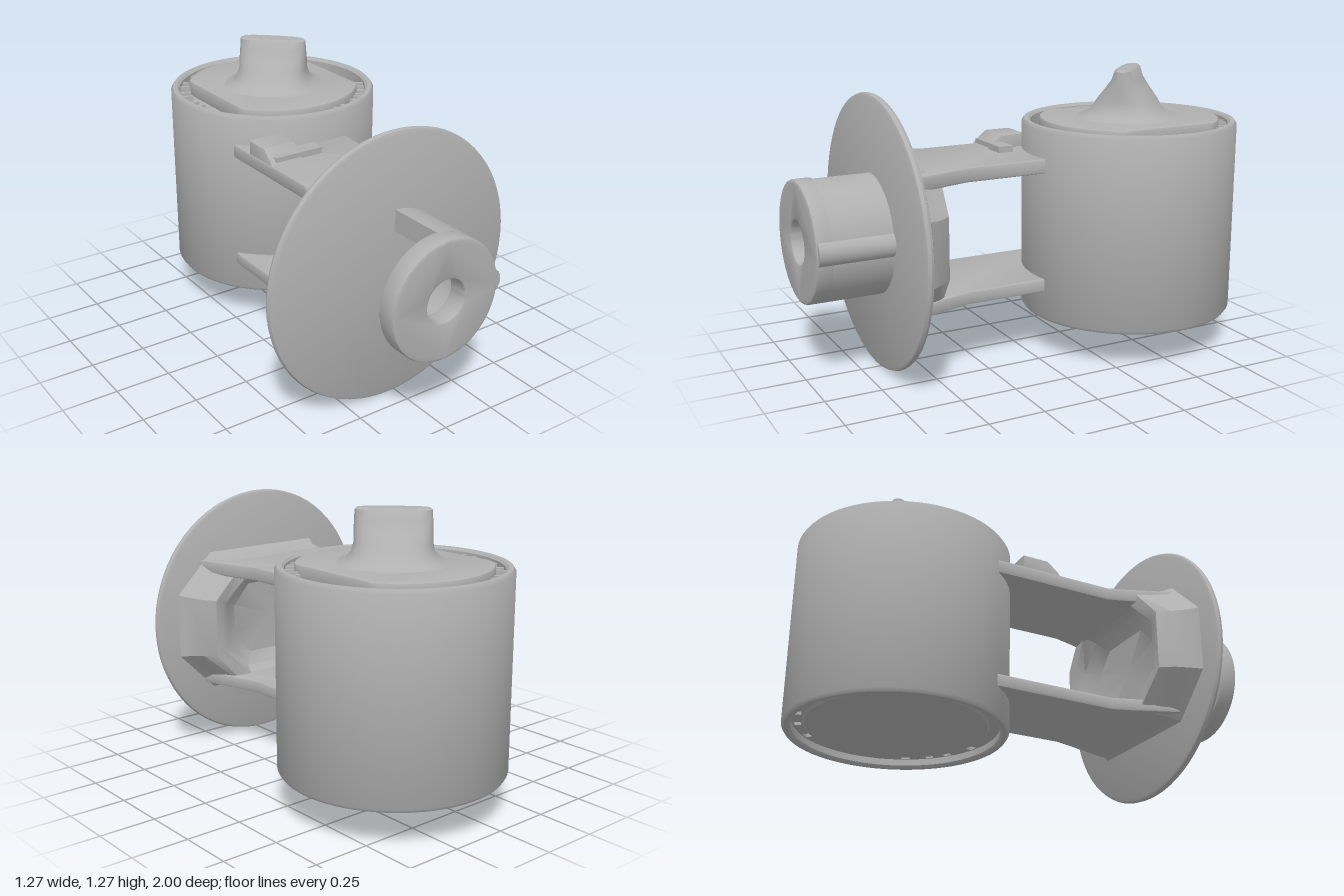
import * as THREE from 'three';
import { toCreasedNormals } from 'three/addons/utils/BufferGeometryUtils.js';

const grey = new THREE.MeshStandardMaterial({ color: 0xb0b0b0 });
grey.name = 'plain grey';

const V2 = (p) => new THREE.Vector2(p[0], p[1]);

function part(name, geometry, parent, x = 0, y = 0, z = 0) {
  const mesh = new THREE.Mesh(toCreasedNormals(geometry, 0.6), grey);
  mesh.name = name;
  mesh.position.set(x, y, z);
  parent.add(mesh);
  return mesh;
}

// Turned solid about y; profile runs counter-clockwise in (radius, height)
const turned = (profile, sides = 64) => new THREE.LatheGeometry(profile.map(V2), sides);

function extruded(shape, depth, bevel = 0) {
  return new THREE.ExtrudeGeometry(shape, {
    depth: depth - 2 * bevel, curveSegments: 32, bevelEnabled: bevel > 0,
    bevelSize: bevel, bevelThickness: bevel, bevelOffset: -bevel, bevelSegments: 2,
  }).translate(0, 0, bevel);
}

// Horizontal slab: the shape is drawn as seen from above, with back upwards
const slab = (shape, depth, bevel) => extruded(shape, depth, bevel).rotateX(-Math.PI / 2);

// Skin over rings of equal point count, rising along y
function loft(rings) {
  const n = rings[0].length, pos = rings.flat(2), idx = [];
  for (let r = 0; r < rings.length - 1; r++) {
    for (let i = 0; i < n; i++) {
      const a = r * n + i, b = r * n + (i + 1) % n;
      idx.push(a, b, b + n, a, b + n, a + n);
    }
  }
  const g = new THREE.BufferGeometry();
  g.setAttribute('position', new THREE.Float32BufferAttribute(pos, 3));
  g.setIndex(idx);
  return g;
}

function circleShape(radius, hole) {
  const s = new THREE.Shape().absarc(0, 0, radius, 0, Math.PI * 2);
  if (hole) s.holes.push(new THREE.Path().absarc(0, 0, hole, 0, Math.PI * 2, true));
  return s;
}

function buildDrum() {
  const drum = new THREE.Group();
  drum.name = 'drum';
  drum.position.set(0.145, 0, -0.515);

  part('drumWall', turned([[0.445, 0.18], [0.455, 0.17], [0.475, 0.17], [0.485, 0.185],
    [0.485, 1.025], [0.475, 1.04], [0.455, 1.04], [0.445, 1.03], [0.445, 0.18]], 72), drum);
  part('innerBody', turned([[0, 0.215], [0.04, 0.2], [0.39, 0.2], [0.4, 0.21],
    [0.4, 0.97], [0.39, 0.98], [0, 0.98]]), drum);

  // Slotted rings bridging the gap, with a small rib beside each slot
  const slots = [180, 160, 140, 118, 98, 82, 65, 45, -28, -43, -55, -75];
  const ring = circleShape(0.45, 0.395);
  for (const deg of slots) {
    const t = deg * Math.PI / 180, w = 0.045;
    ring.holes.push(new THREE.Path().absarc(0, 0, 0.438, t - w, t + w, false)
      .absarc(0, 0, 0.407, t + w, t - w, true));
    for (const side of [-1, 1]) {
      const a = t + side * 0.065;
      const rib = part('slotRib', new THREE.BoxGeometry(0.06, 0.07, 0.018), drum,
        0.422 * Math.cos(a), 0.985, -0.422 * Math.sin(a));
      rib.rotation.y = a;
    }
  }
  part('upperRing', slab(ring, 0.04), drum, 0, 0.93, 0);
  part('lowerRing', slab(ring, 0.04), drum, 0, 0.21, 0);

  // Lid: a disc with two flattened sides
  const lid = new THREE.Shape();
  for (let i = 0; i < 64; i++) {
    const a = i / 64 * Math.PI * 2;
    const x = THREE.MathUtils.clamp(0.405 * Math.cos(a), -0.325, 0.33), y = 0.405 * Math.sin(a);
    if (i) lid.lineTo(x, y); else lid.moveTo(x, y);
  }
  part('lid', slab(lid, 0.075, 0.012), drum, 0, 0.975, 0);

  // Knob: flared foot narrowing into a diagonal grip
  const knobRing = (y, len, wid) => Array.from({ length: 32 }, (_, i) => {
    const a = i / 32 * Math.PI * 2, p = (v) => Math.sign(v) * Math.abs(v) ** 0.8;
    return [len * p(Math.cos(a)), y, -wid * p(Math.sin(a))];
  });
  const knob = part('knob', loft([knobRing(1.045, 0.24, 0.24), knobRing(1.062, 0.195, 0.19),
    knobRing(1.09, 0.17, 0.155), knobRing(1.13, 0.16, 0.13), knobRing(1.18, 0.16, 0.09),
    knobRing(1.22, 0.158, 0.06), knobRing(1.262, 0.156, 0.045), knobRing(1.27, 0.145, 0.035),
    knobRing(1.27, 0, 0)]), drum, 0, 0, 0.01);
  knob.rotation.y = -Math.PI / 4;
  return drum;
}

function buildBracket() {
  const bracket = new THREE.Group();
  bracket.name = 'bracket';

  // Two flat arms that flare at the flange and meet the drum in an arc
  const arm = new THREE.Shape();
  [[-0.25, 0.2], [-0.25, -0.33], [-0.28, -0.42], [-0.37, -0.64], [0.32, -0.64], [0.255, -0.42],
    [0.23, -0.33], [0.23, 0.05]].forEach(([x, y], i) => (i ? arm.lineTo(x, y) : arm.moveTo(x, y)));
  arm.absarc(0.145, 0.515, 0.465, -1.38, -2.56, true);
  part('upperArm', slab(arm, 0.065, 0.012), bracket, 0, 0.842, 0);
  part('lowerArm', slab(arm, 0.06, 0.012), bracket, 0, 0.303, 0);

  // Raised catch on the upper arm, sloping down towards the flange
  const wedge = new THREE.Shape([[-0.1, 0.89], [-0.07, 0.925], [-0.02, 0.965], [0.1, 0.965],
    [0.1, 0.89]].map(V2));
  part('catch', extruded(wedge, 0.16, 0.008).rotateY(Math.PI / 2), bracket, -0.245, 0, 0);
  part('catchLip', new THREE.BoxGeometry(0.24, 0.06, 0.07), bracket, -0.1, 0.905, 0.045);

  // Eight-sided mount with an open pocket facing the drum
  const octagon = (h, hw, hy, dip = 0) => [[1, 0.45], [0.62, 1], [-0.62, 1], [-1, 0.45],
    [-1, -0.45], [-0.62, -1], [0.62, -1], [1, -0.45]]
    .map(([x, y]) => [x * hw, h - (Math.abs(x) === 1 ? dip : 0), -y * hy]);
  part('mount', loft([octagon(0, 0.49, 0.335), octagon(0.05, 0.455, 0.315),
    octagon(0.12, 0.42, 0.302, 0.01), octagon(0.185, 0.38, 0.3, 0.02),
    octagon(0.19, 0.33, 0.25, 0.035), octagon(0.13, 0.29, 0.22), octagon(0.08, 0.22, 0.17),
    octagon(0.07, 0, 0)]).rotateX(-Math.PI / 2), bracket, -0.035, 0.605, 0.64);
  return bracket;
}

function buildFlange() {
  const flange = new THREE.Group();
  flange.name = 'flange';
  flange.position.set(-0.035, 0.605, 0);

  part('flangeDisc', turned([[0, 0.637], [0.585, 0.632], [0.598, 0.638], [0.603, 0.65],
    [0.598, 0.664], [0.585, 0.67], [0, 0.667]], 72).rotateX(Math.PI / 2), flange);

  // Hub: a half shell carrying a full end cap with a hole
  const half = new THREE.Shape().absarc(0, 0, 0.265, -Math.PI / 2, Math.PI / 2, false)
    .absarc(0, 0, 0.17, Math.PI / 2, -Math.PI / 2, true);
  part('hubShell', extruded(half, 0.27), flange, 0, 0, 0.66);
  part('hubCap', extruded(circleShape(0.265, 0.093), 0.09, 0.012), flange, 0, 0, 0.91);
  part('hubRidge', new THREE.CylinderGeometry(0.06, 0.06, 0.325, 20).rotateX(Math.PI / 2),
    flange, 0.226, 0.01, 0.83);
  return flange;
}

export function createModel() {
  const model = new THREE.Group();
  model.name = 'drumOnFlangedBracket';
  model.add(buildDrum(), buildBracket(), buildFlange());
  return model;
}
